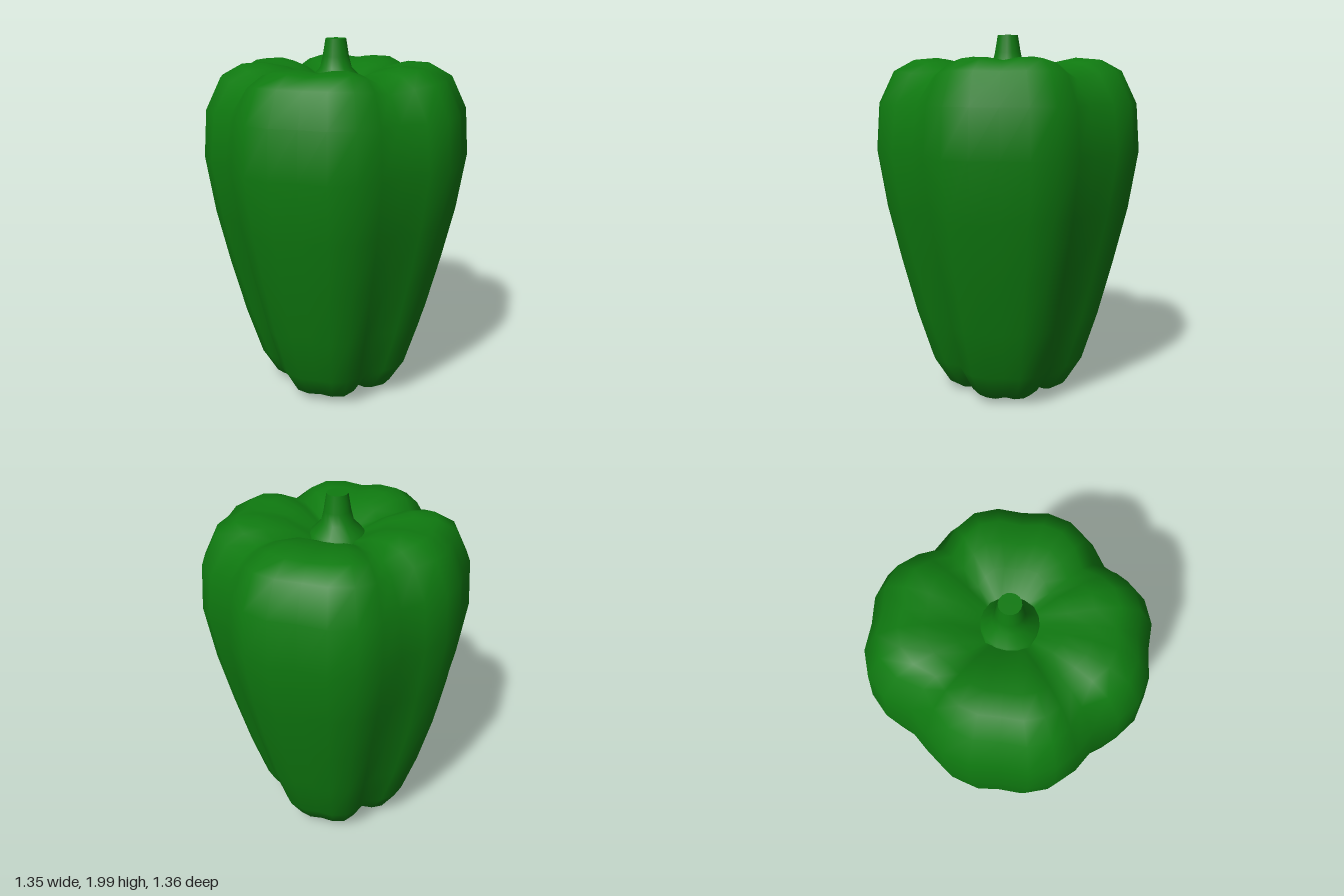
import * as THREE from 'three';

// One quarter of the cross-section: a groove on each axis, a shallow dent on each diagonal
const QUARTER = [[0.65, 0], [0.675, 0.137], [0.665, 0.27], [0.6, 0.394], [0.49, 0.49], [0.394, 0.6], [0.27, 0.665], [0.137, 0.675]];
// How strongly each of those points follows the main groove and the diagonal dent
const GROOVE = [1, 0.4, 0.05, 0, 0, 0, 0.05, 0.4];
const DENT = [0, 0, 0, 0.25, 1, 0.25, 0, 0];

// Rings from bottom to top: half width, height, inward groove, vertical groove, vertical dent
const RINGS = [
  [0.04, 0.12, 0, 0, 0],
  [0.11, 0.08, 0, 0.02, 0],
  [0.18, 0.02, 0.01, 0.04, 0.01],
  [0.25, 0.008, 0.02, 0.045, 0.012],
  [0.33, 0.06, 0.035, 0.03, 0.005],
  [0.41, 0.2, 0.035, 0, 0],
  [0.49, 0.47, 0.025, 0, 0],
  [0.565, 0.78, 0.015, 0, 0],
  [0.63, 1.08, 0.005, 0, 0],
  [0.675, 1.39, 0, 0, 0],
  [0.657, 1.64, 0.02, 0, 0],
  [0.58, 1.81, 0.04, -0.04, -0.005],
  [0.48, 1.87, 0.02, -0.06, -0.015],
  [0.37, 1.88, 0, -0.06, -0.02],
  [0.25, 1.855, 0, -0.05, -0.01],
  [0.14, 1.795, 0, -0.02, 0],
  [0.05, 1.75, 0, 0, 0],
];

function createBodyGeometry() {
  const n = QUARTER.length * 4;
  const positions = [];
  const indices = [];
  for (const [width, height, inward, groove, dent] of RINGS) {
    for (let i = 0; i < n; i++) {
      const k = i % QUARTER.length;
      const turn = Math.floor(i / QUARTER.length) * Math.PI / 2;
      const [a, b] = QUARTER[k];
      const radius = Math.hypot(a, b) * width / 0.675 - inward * GROOVE[k];
      const angle = Math.atan2(b, a) + turn;
      const x = Math.cos(angle) * radius;
      let z = Math.sin(angle) * radius;
      // The two back lobes differ: one swells out, the other is pulled in
      if (z < 0) {
        const upper = THREE.MathUtils.smoothstep(height, 0.6, 1.35);
        const side = THREE.MathUtils.smoothstep(x / width, -0.25, 0.25);
        z *= 1 + upper * THREE.MathUtils.lerp(-0.06, 0.02, side);
      }
      positions.push(x, height + groove * GROOVE[k] + dent * DENT[k], z);
    }
  }
  for (let r = 0; r < RINGS.length - 1; r++) {
    for (let i = 0; i < n; i++) {
      const j = (i + 1) % n;
      const a = r * n + i, b = r * n + j, c = a + n, d = b + n;
      indices.push(a, c, b, b, c, d);
    }
  }
  // Close the dimples at both ends
  const bottom = positions.length / 3;
  const top = bottom + 1;
  const last = (RINGS.length - 1) * n;
  positions.push(0, 0.125, 0, 0, 1.745, 0);
  for (let i = 0; i < n; i++) {
    const j = (i + 1) % n;
    indices.push(bottom, i, j, top, last + j, last + i);
  }
  const geometry = new THREE.BufferGeometry();
  geometry.setAttribute('position', new THREE.Float32BufferAttribute(positions, 3));
  geometry.setIndex(indices);
  geometry.computeVertexNormals();
  return geometry;
}

export function createModel() {
  const group = new THREE.Group();
  group.name = 'bellPepper';
  const green = new THREE.MeshStandardMaterial({ color: 0x0f7a10 });
  green.name = 'pepperGreen';

  const body = new THREE.Mesh(createBodyGeometry(), green);
  body.name = 'lobedBody';
  group.add(body);

  // Tapered stem that flares into a collar
  const profile = [[0.155, 1.765], [0.135, 1.8], [0.085, 1.85], [0.07, 1.91], [0.055, 2]];
  const stem = new THREE.Mesh(
    new THREE.LatheGeometry(profile.map(([r, y]) => new THREE.Vector2(r, y)), 16), green);
  stem.name = 'stem';
  group.add(stem);

  // Flat cut end of the stem
  const cut = new THREE.Mesh(new THREE.CircleGeometry(0.055, 16).rotateX(-Math.PI / 2), green);
  cut.position.y = 2;
  cut.name = 'stemCutEnd';
  group.add(cut);
  return group;
}
